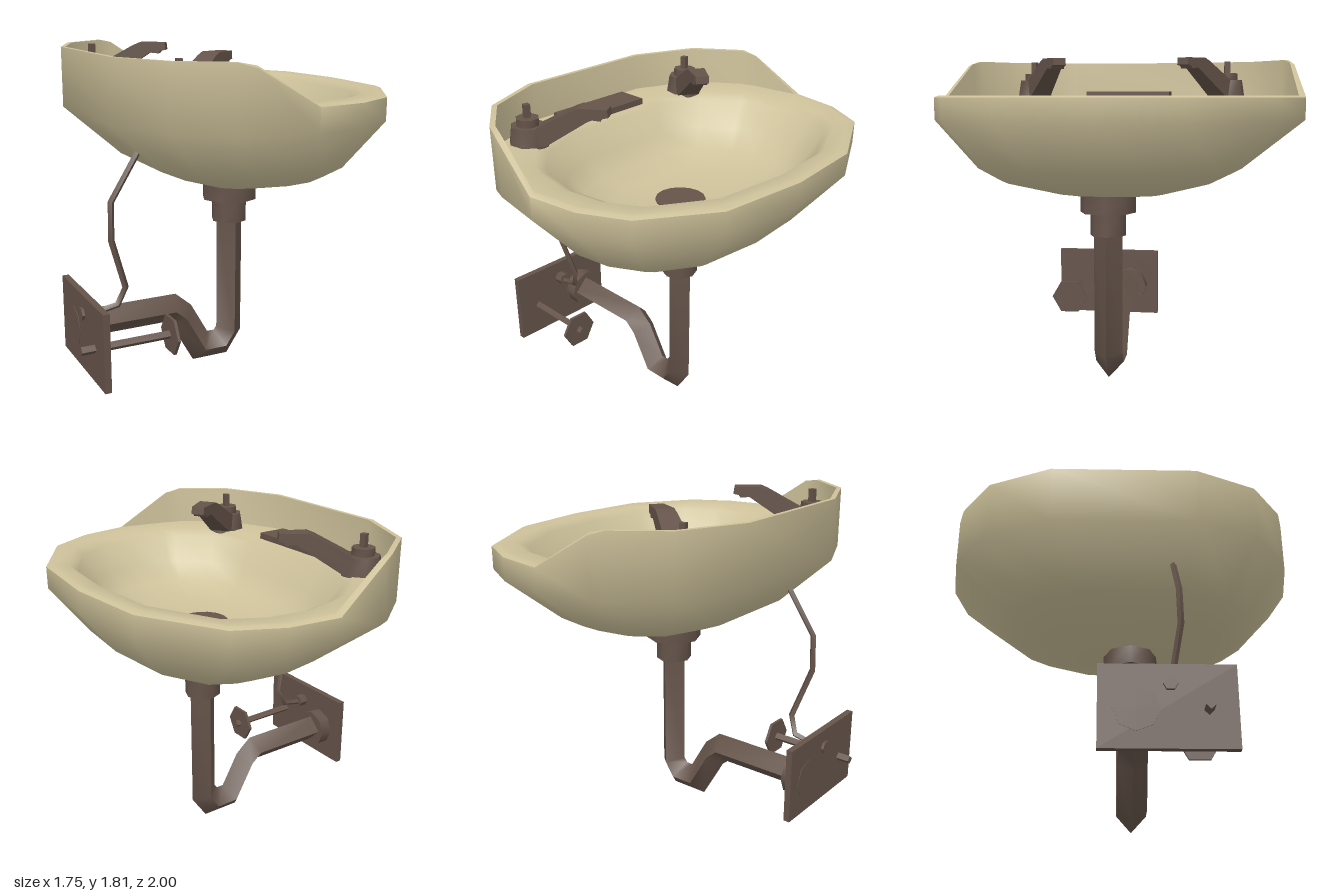
import * as THREE from 'three';
import { toCreasedNormals } from 'three/addons/utils/BufferGeometryUtils.js';

const V = (x, y, z) => new THREE.Vector3(x, y, z);

// Skin a list of closed rings (arrays of Vector3) into a surface
function loft(rings) {
  const pos = [];
  const n = rings[0].length;
  for (let j = 0; j < rings.length - 1; j++) {
    for (let i = 0; i < n; i++) {
      const k = (i + 1) % n;
      const a = rings[j][i], b = rings[j + 1][i], c = rings[j + 1][k], d = rings[j][k];
      for (const p of [a, b, c, a, c, d]) pos.push(p.x, p.y, p.z);
    }
  }
  const g = new THREE.BufferGeometry();
  g.setAttribute('position', new THREE.Float32BufferAttribute(pos, 3));
  g.computeVertexNormals();
  return g;
}

// Square-section pipe, set on its corner, with mitred bends
function sweep(path, r) {
  const rings = path.map((p, i) => {
    const t0 = p.clone().sub(path[Math.max(i - 1, 0)]).normalize();
    const t1 = path[Math.min(i + 1, path.length - 1)].clone().sub(p).normalize();
    const t = t0.clone().add(t1).normalize();
    const cos = t.dot(t1.lengthSq() ? t1 : t0);
    const n = V(0, 0, 1).cross(t).normalize().multiplyScalar(r / cos);
    const b = V(0, 0, r);
    return [n, b.clone().negate(), n.clone().negate(), b].map((o) => p.clone().add(o));
  });
  const cap = (p) => Array(4).fill(p);
  return toCreasedNormals(loft([cap(path[0]), ...rings, cap(path[path.length - 1])]), 1);
}

// Basin outline seen from above, as x, z
const outline = [
  [0.1, -1], [0.37, -0.96], [0.6, -0.84], [0.83, -0.43], [0.875, 0.02], [0.83, 0.49],
  [0.6, 0.84], [0.37, 0.96], [0.1, 1], [-0.2, 0.95], [-0.29, 0.92], [-0.53, 0.74],
  [-0.68, 0.4], [-0.68, -0.39], [-0.53, -0.74], [-0.28, -0.92], [-0.2, -0.95],
];

function basinGeometry() {
  // The rim rises towards the back
  const rim = (low) => (x) => Math.min(1.8, low + Math.max(0, 0.1 - x) * 0.61);
  const level = (y) => () => y;
  // centre x, centre z, scale x, scale z, height
  const sections = [
    // outside, going up
    [0.15, 0.05, 0, 0, level(1.056)], [0.15, 0.04, 0.27, 0.3, level(1.07)],
    [0.165, 0.055, 0.53, 0.58, level(1.14)], [0.135, 0.05, 0.69, 0.72, level(1.21)],
    [0.1, 0, 1, 1, level(1.47)], [0.1, 0, 1, 1, rim(1.59)],
    // over the rim and across the ledge
    [0.1, 0, 0.97, 0.973, rim(1.6)], [0.1, 0, 0.96, 0.962, level(1.6)],
    // down into the shallow bowl
    [0.16, 0, 0.78, 0.85, level(1.595)], [0.16, 0, 0.735, 0.79, level(1.565)],
    [0.165, 0.01, 0.64, 0.69, level(1.43)], [0.165, 0.03, 0.54, 0.58, level(1.335)],
    [0.145, 0.04, 0.37, 0.38, level(1.285)], [0.13, 0.05, 0.2, 0.2, level(1.265)],
    [0.13, 0.05, 0, 0, level(1.26)],
  ];
  const rings = sections.map(([cx, cz, sx, sz, y]) =>
    outline.map(([x, z]) => V(cx + (x - 0.1) * sx, y(x), cz + z * sz)));
  return toCreasedNormals(loft(rings), 1.1);
}

export function createModel() {
  const model = new THREE.Group();
  model.name = 'washBasin';
  const ceramic = new THREE.MeshStandardMaterial({ color: 0xcdc19a });
  ceramic.name = 'cream ceramic';
  const metal = new THREE.MeshStandardMaterial({ color: 0x645349 });
  metal.name = 'dull brown metal';

  const add = (name, geo, mat, parent = model) => {
    const m = new THREE.Mesh(geo, mat);
    m.name = name;
    parent.add(m);
    return m;
  };
  // Faceted cylinder standing between two heights
  const post = (name, x, z, y0, y1, r, sides, parent, rTop = r) => {
    const g = toCreasedNormals(new THREE.CylinderGeometry(rTop, r, y1 - y0, sides), 0.8);
    add(name, g, metal, parent).position.set(x, (y0 + y1) / 2, z);
  };
  // Faceted cylinder lying along x
  const bar = (name, x0, x1, y, z, r, sides) => {
    const g = toCreasedNormals(new THREE.CylinderGeometry(r, r, x1 - x0, sides), 0.8);
    g.rotateZ(Math.PI / 2);
    add(name, g, metal).position.set((x0 + x1) / 2, y, z);
  };

  add('basin', basinGeometry(), ceramic);

  // Drain and waste pipe
  post('drain', 0.13, 0.05, 1.262, 1.272, 0.135, 16);
  post('drainFlange', 0.135, 0.06, 0.96, 1.08, 0.157, 8);
  post('drainNut', 0.135, 0.06, 0.83, 0.97, 0.1, 8);
  const trap = [[0.137, 0.9], [0.137, 0.165], [0.083, 0.085], [-0.05, 0.085],
    [-0.17, 0.295], [-0.235, 0.35], [-0.78, 0.35]].map(([x, y]) => V(x, y, 0.06));
  add('wastePipe', sweep(trap, 0.08), metal);

  // Wall plate with its fittings
  add('wallPlate', new THREE.BoxGeometry(0.035, 0.42, 0.655), metal).position.set(-0.788, 0.365, 0.202);
  bar('pipeCollar', -0.808, -0.7, 0.35, 0.055, 0.112, 8);
  bar('supplyValve', -0.82, -0.72, 0.473, 0.215, 0.036, 6);
  bar('valveRod', -0.88, -0.345, 0.343, 0.39, 0.024, 4);
  bar('valveHandle', -0.392, -0.376, 0.343, 0.39, 0.11, 6);
  const supply = [[-0.46, 1.38, 0.27], [-0.66, 1.07, 0.285], [-0.665, 0.87, 0.288],
    [-0.575, 0.59, 0.24], [-0.615, 0.49, 0.22], [-0.74, 0.465, 0.215]].map((p) => V(...p));
  add('supplyTube', sweep(supply, 0.017), metal);

  // Taps, each with its spout aimed at the bowl
  const spoutSide = new THREE.Shape([[0, 1.6], [0.11, 1.6], [0.35, 1.755], [0.4, 1.75],
    [0.41, 1.765], [0.44, 1.77], [0.435, 1.81], [0.29, 1.812], [0.25, 1.795], [0.06, 1.69],
    [0, 1.69]].map(([x, y]) => new THREE.Vector2(x, y)));
  const spout = new THREE.ExtrudeGeometry(spoutSide, { depth: 1, bevelEnabled: false });
  spout.translate(0, 0, -0.5);
  const sp = spout.attributes.position;
  for (let i = 0; i < sp.count; i++) sp.setZ(i, sp.getZ(i) * (0.14 - 0.15 * sp.getX(i)));
  spout.computeVertexNormals();
  const tap = (name, x, z, angle) => {
    const g = new THREE.Group();
    g.name = name;
    g.position.set(x, 0, z);
    g.rotation.y = angle;
    model.add(g);
    post('tapBase', 0, 0, 1.58, 1.69, 0.108, 8, g, 0.09);
    post('tapNut', 0, 0, 1.69, 1.73, 0.062, 8, g);
    post('tapStem', 0, 0, 1.73, 1.8, 0.022, 4, g);
    add('spout', spout, metal, g);
  };
  tap('rightTap', -0.44, -0.57, -0.58);
  tap('leftTap', -0.425, 0.605, 0.57);

  // Low plate on the back ledge
  add('ledgePlate', new THREE.BoxGeometry(0.175, 0.045, 0.51), metal).position.set(-0.53, 1.602, 0.032);

  return model;
}
